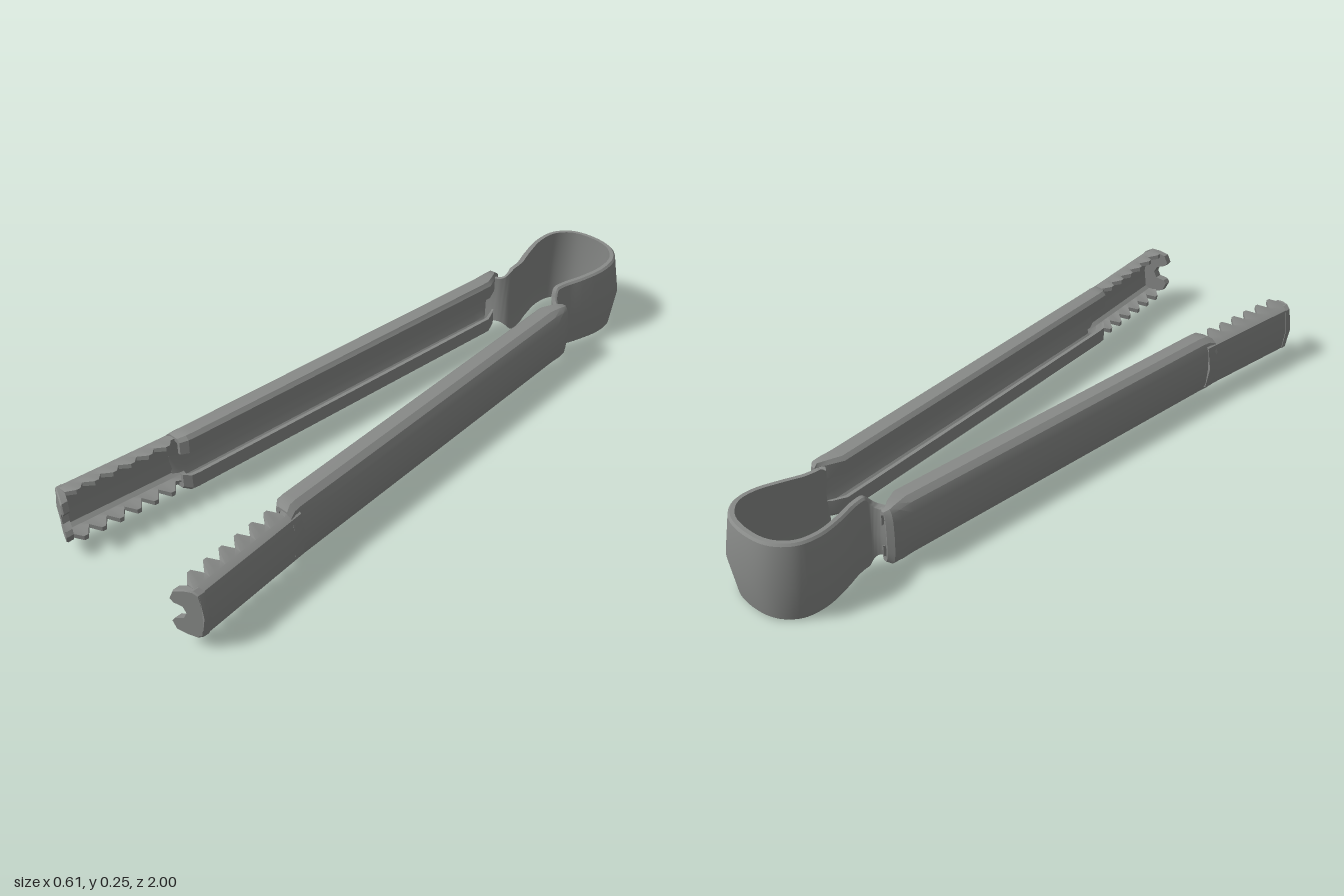
import * as THREE from 'three';
import { toCreasedNormals } from 'three/addons/utils/BufferGeometryUtils.js';

const MID = 0.119; // height of the symmetry plane
const V2 = (x, y) => new THREE.Vector2(x, y);

// Mirror the upper half of an outline (listed from lip to middle and back) to a closed ring.
function closedSection(outer, inner) {
  const flip = (list) => list.filter((p) => p[1] !== 0).map(([u, y]) => [u, -y]).reverse();
  return [...outer, ...flip(outer), ...inner, ...flip(inner)];
}

// Skin equal-length rings of [x, y, z] points into a capped solid facing outward.
function loft(rings, outline) {
  const n = rings[0].length;
  const pos = rings.flat(2);
  let index = [];
  for (let r = 0; r < rings.length - 1; r++) {
    for (let i = 0; i < n; i++) {
      const a = r * n + i, b = r * n + (i + 1) % n;
      index.push(a, b, b + n, a, b + n, a + n);
    }
  }
  // Caps take their turning sense from the outline
  const contour = outline.map(([u, y]) => V2(u, y));
  const ccw = !THREE.ShapeUtils.isClockWise(contour);
  const last = (rings.length - 1) * n;
  for (const tri of THREE.ShapeUtils.triangulateShape(contour, [])) {
    const [a, b, c] = tri.map((k) => contour[k]);
    const area = (b.x - a.x) * (c.y - a.y) - (c.x - a.x) * (b.y - a.y);
    const [i, j, k] = (area > 0) === ccw ? tri : [tri[0], tri[2], tri[1]];
    index.push(i, k, j, last + i, last + j, last + k);
  }
  // Turn the whole skin outward when its signed volume is negative
  const p = (i) => new THREE.Vector3(pos[3 * i], pos[3 * i + 1], pos[3 * i + 2]);
  let volume = 0;
  for (let t = 0; t < index.length; t += 3) {
    volume += p(index[t]).dot(p(index[t + 1]).cross(p(index[t + 2])));
  }
  if (volume < 0) index = index.reverse();
  const g = new THREE.BufferGeometry();
  g.setAttribute('position', new THREE.Float32BufferAttribute(pos, 3));
  g.setIndex(index);
  return toCreasedNormals(g, 0.5);
}

// Bent strip with a raised middle ridge, swept round the closed end
function springGeometry() {
  const half = [[0.07, -0.952], [0.112, -0.91], [0.121, -0.85], [0.104, -0.77], [0.084, -0.705],
    [0.083, -0.655], [0.108, -0.628], [0.15, -0.612]];
  const path = [...half.map(([x, z]) => [-x, z]).reverse(), [0, -0.965], ...half];
  const curve = new THREE.CatmullRomCurve3(path.map(([x, z]) => new THREE.Vector3(x, 0, z)));
  const smooth = THREE.MathUtils.smoothstep;
  const outline = [[0, 1], [0.012, 1], [0.018, 0.95], [0.036, 0], [0.018, -0.95], [0.012, -1],
    [0, -1], [0.006, 0]];
  const rings = [];
  for (let i = 0; i <= 88; i++) {
    const c = curve.getPoint(i / 88), t = curve.getTangent(i / 88);
    const ridge = 1 - 0.4 * smooth(c.z, -0.8, -0.68);
    const shrink = smooth(c.z, -0.67, -0.625);
    const top = THREE.MathUtils.lerp(0.254 - 0.018 * smooth(c.z, -1, -0.7), 0.2, shrink);
    const bottom = THREE.MathUtils.lerp(0.002, 0.04, shrink);
    rings.push(outline.map(([o, y]) => {
      const off = o > 0.02 ? 0.018 + (o - 0.018) * ridge : o;
      return [c.x + t.z * off, (top + bottom) / 2 + y * (top - bottom) / 2, c.z - t.x * off];
    }));
  }
  return loft(rings, outline);
}

// Lipped channel that forms the long handle
function armGeometry(side) {
  const section = closedSection(
    [[0.08, 0.04], [0.081, 0.085], [0.07, 0.096], [0.032, 0.096], [0.014, 0.083], [0.004, 0.055], [0, 0]],
    [[0.069, -0.04], [0.069, -0.08], [0.034, -0.084], [0.024, -0.075], [0.016, -0.05], [0.012, 0]]);
  // z, depth scale, height scale, inset of the outer wall
  const steps = [[-0.648, 0.25, 0.86, 0.022], [-0.635, 0.45, 0.95, 0.006], [-0.61, 0.75, 0.99, 0],
    [-0.57, 1, 1, 0], [0.58, 1, 1, 0], [0.605, 1, 0.99, -0.002], [0.625, 0.86, 0.9, -0.006]];
  const rings = steps.map(([z, d, h, inset]) => {
    const wall = 0.175 + 0.0667 * (z + 0.62) - inset;
    return section.map(([u, y]) => [side * (wall - u * d), MID + y * h, z]);
  });
  return loft(rings, section);
}

// Open channel whose two inner edges are cut into teeth
function jawGeometry(side) {
  const section = closedSection(
    [[1, 0.086], [0.03, 0.079], [0.012, 0.07], [0, 0]],
    [[1, -0.072], [0.032, -0.067], [0.02, -0.058], [0.013, 0]]);
  const rings = [];
  const ring = (z, edge, flare) => rings.push(section.map(([u, y]) => [
    side * (0.265 + 0.105 * (z - 0.6) - (u === 1 ? edge : u)),
    MID + y * (u === 1 ? flare : 1), z]));
  ring(0.59, 0.06, 1.02);
  for (let i = 0; i < 6; i++) {
    const z = 0.635 + i * 0.055;
    ring(z, 0.05, 0.92);
    ring(z + 0.022, 0.077, 1.02);
    ring(z + 0.034, 0.077, 1.02);
  }
  ring(0.965, 0.055, 0.92);
  return loft(rings, section);
}

// Turned-in end wall with a notch in its inner edge
function tipGeometry(side) {
  const upper = [[0.046, 0], [0.054, 0.02], [0.078, 0.028], [0.086, 0.04], [0.076, 0.066],
    [0.05, 0.076], [0.026, 0.079], [0.011, 0.07], [0, 0]];
  const lower = upper.slice(1, -1).map(([u, y]) => [u, -y]).reverse();
  const outline = [...upper, ...lower];
  const rings = [-0.022, -0.004, 0].map((dz, i) => outline.map(([u, y]) => {
    const k = i === 2 ? 0.95 : 1;
    return [side * (0.303 - 0.043 - (u - 0.043) * k), MID + y * k, 0.963 + u * 0.43 + dz];
  }));
  return loft(rings, outline);
}

export function createModel() {
  const model = new THREE.Group();
  model.name = 'tongs';
  const metal = new THREE.MeshStandardMaterial({ color: 0x888a88 });
  metal.name = 'grey metal';
  const add = (parent, name, geometry) => {
    const mesh = new THREE.Mesh(geometry, metal);
    mesh.name = name;
    parent.add(mesh);
  };

  add(model, 'springBand', springGeometry());
  for (const [name, side] of [['left', 1], ['right', -1]]) {
    const arm = new THREE.Group();
    arm.name = name + 'Arm';
    add(arm, name + 'Handle', armGeometry(side));
    add(arm, name + 'ToothedJaw', jawGeometry(side));
    add(arm, name + 'NotchedTip', tipGeometry(side));
    model.add(arm);
  }
  return model;
}
